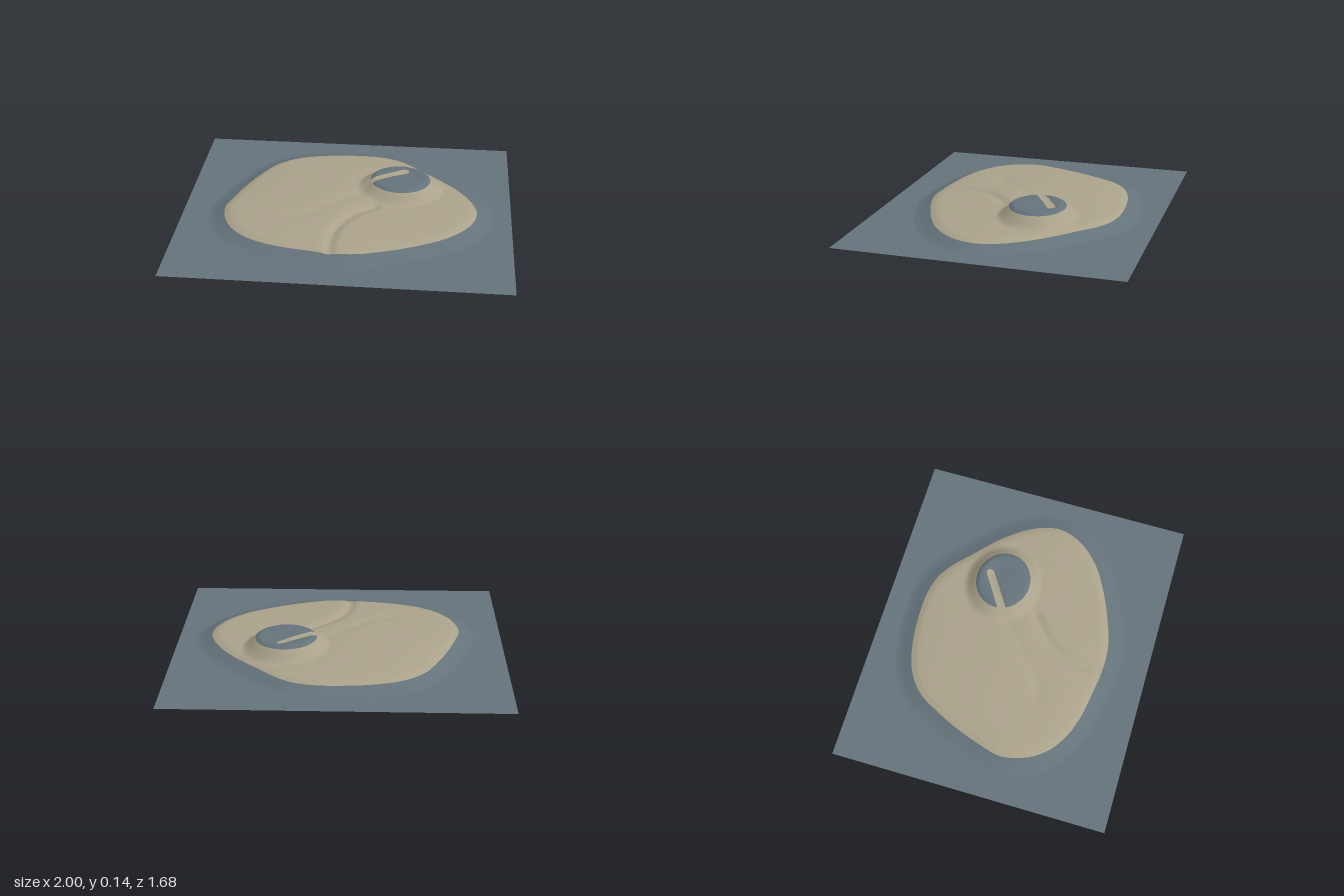
import * as THREE from 'three';

const { smoothstep, clamp, lerp } = THREE.MathUtils;
const NX = 200, NZ = 168, W = 2, D = 1.68;

const curve = (pts, closed, n) =>
  new THREE.CatmullRomCurve3(pts.map(([x, z]) => new THREE.Vector3(x, 0, z)), closed).getPoints(n);

// Shoreline, stream beds and the bar across the summit, as x, z points
const shore = curve([
  [-0.74, 0.13], [-0.70, 0.29], [-0.62, 0.40], [-0.50, 0.48], [-0.35, 0.53], [-0.2, 0.555], [-0.05, 0.575],
  [0.1, 0.57], [0.25, 0.53], [0.45, 0.45], [0.62, 0.35], [0.74, 0.22], [0.79, 0.08], [0.77, -0.04],
  [0.70, -0.17], [0.6, -0.29], [0.47, -0.41], [0.35, -0.52], [0.25, -0.58], [0.12, -0.61], [-0.05, -0.61],
  [-0.22, -0.59], [-0.38, -0.54], [-0.5, -0.45], [-0.58, -0.32], [-0.65, -0.17], [-0.71, 0],
], true, 108);
const stream = curve([[0.17, 0.09], [0.05, 0.19], [-0.02, 0.3], [-0.055, 0.42], [-0.06, 0.62]], false, 20);
const gully = curve([[0.14, -0.1], [0.02, -0.02], [-0.1, 0.09], [-0.2, 0.2], [-0.32, 0.24]], false, 12);
const bar = curve([[0.1, -0.1], [0.34, -0.255]], false, 1);

// Distance from a point to a polyline
function distance(x, z, line) {
  let best = Infinity;
  for (let i = 1; i < line.length; i++) {
    const a = line[i - 1], b = line[i], dx = b.x - a.x, dz = b.z - a.z;
    const t = clamp(((x - a.x) * dx + (z - a.z) * dz) / (dx * dx + dz * dz), 0, 1);
    best = Math.min(best, Math.hypot(x - a.x - t * dx, z - a.z - t * dz));
  }
  return best;
}

// Positive inside the shoreline
function shoreDistance(x, z) {
  let inside = false;
  for (let i = 1; i < shore.length; i++) {
    const a = shore[i - 1], b = shore[i];
    if ((a.z > z) !== (b.z > z) && x < a.x + (b.x - a.x) * (z - a.z) / (b.z - a.z)) inside = !inside;
  }
  return distance(x, z, shore) * (inside ? 1 : -1);
}

const bump = (x, z, cx, cz, s) => Math.exp(-((x - cx) ** 2 + (z - cz) ** 2) / (2 * s * s));
const groove = (d, s) => Math.exp(-((d / s) ** 2));

// Height of the coast from its distance to the shoreline
const coast = [[-0.095, 0], [-0.06, 0.01], [0, 0.036], [0.035, 0.05], [0.07, 0.054], [0.2, 0.058], [2, 0.06]];
function coastHeight(d) {
  if (d <= coast[0][0]) return 0;
  const i = coast.findIndex(([e]) => e >= d), [a, ha] = coast[i - 1], [b, hb] = coast[i];
  return lerp(ha, hb, (d - a) / (b - a));
}

// Height, and a field that is positive on land and negative on water
function sample(x, z) {
  const d = shoreDistance(x, z);
  let h = coastHeight(d);
  if (d > -0.02) {
    const inland = smoothstep(d, 0, 0.15);
    h += inland * (0.027 * bump(x, z, -0.12, -0.02, 0.27) + 0.004 * bump(x, z, -0.3, 0.4, 0.06));
    h -= 0.016 * smoothstep(d, -0.02, 0.02) * groove(distance(x, z, stream), 0.032);
    h -= 0.005 * inland * groove(distance(x, z, gully), 0.04);
  }
  const q = Math.hypot((x - 0.315) / 1.06, (z + 0.165) / 0.96);
  const barDist = distance(x, z, bar);
  const summit = 0.138 - 0.01 * bump(x, z, 0.37, -0.21, 0.05) - 0.005 * groove(barDist, 0.028);
  h = lerp(h, summit, 1 - smoothstep(q, 0.14, 0.255));
  return [h, Math.min(d, Math.max(q - 0.174, 0.024 - barDist))];
}

export function createModel() {
  const group = new THREE.Group();
  const sand = new THREE.MeshStandardMaterial({ color: 0xaaa28a, side: THREE.DoubleSide });
  const water = new THREE.MeshStandardMaterial({ color: 0x64727a, side: THREE.DoubleSide });
  sand.name = 'sand';
  water.name = 'slateBlue';

  // Height field over the whole sheet
  const grid = new THREE.PlaneGeometry(W, D, NX, NZ).rotateX(-Math.PI / 2);
  const pos = grid.attributes.position, field = [];
  for (let i = 0; i < pos.count; i++) {
    const [h, f] = sample(pos.getX(i), pos.getZ(i));
    pos.setY(i, h);
    field.push(f);
  }
  grid.computeVertexNormals();
  const verts = field.map((f, i) => ({
    f,
    p: new THREE.Vector3().fromBufferAttribute(pos, i),
    n: new THREE.Vector3().fromBufferAttribute(grid.attributes.normal, i),
  }));

  // Cut the sheet along the colour boundary and keep one side
  function cut(name, side, material) {
    const points = [], normals = [], index = grid.index.array;
    for (let i = 0; i < index.length; i += 3) {
      const poly = [];
      for (let k = 0; k < 3; k++) {
        const a = verts[index[i + k]], b = verts[index[i + (k + 1) % 3]];
        if (a.f * side >= 0) poly.push(a);
        if (a.f * b.f < 0) {
          const t = a.f / (a.f - b.f);
          poly.push({ p: a.p.clone().lerp(b.p, t), n: a.n.clone().lerp(b.n, t).normalize() });
        }
      }
      for (let k = 2; k < poly.length; k++) {
        for (const v of [poly[0], poly[k - 1], poly[k]]) {
          points.push(v.p.x, v.p.y, v.p.z);
          normals.push(v.n.x, v.n.y, v.n.z);
        }
      }
    }
    const geometry = new THREE.BufferGeometry();
    geometry.setAttribute('position', new THREE.Float32BufferAttribute(points, 3));
    geometry.setAttribute('normal', new THREE.Float32BufferAttribute(normals, 3));
    const mesh = new THREE.Mesh(geometry, material);
    mesh.name = name;
    group.add(mesh);
  }
  cut('island', 1, sand);
  cut('seaAndSummitLake', -1, water);
  return group;
}
